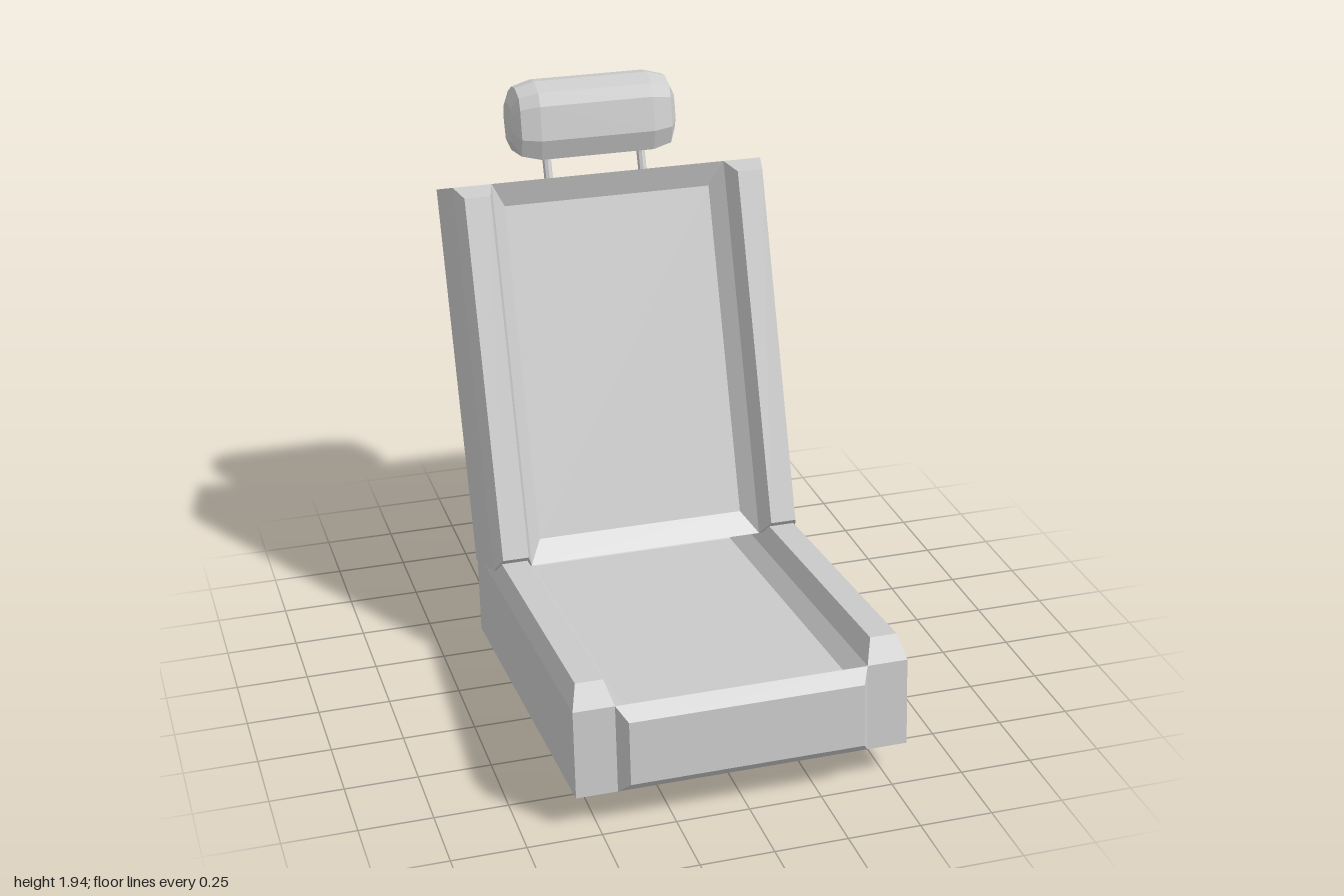
import * as THREE from 'three';

const material = new THREE.MeshStandardMaterial({ color: 0xcccccc, flatShading: true });

// Joins rings of points (counter-clockwise seen from the last ring) and caps both ends.
function loft(name, rings) {
  const pos = [];
  const tri = (...pts) => pts.forEach((p) => pos.push(...p));
  const n = rings[0].length;
  for (let r = 0; r < rings.length - 1; r++) {
    const a = rings[r], b = rings[r + 1];
    for (let i = 0; i < n; i++) {
      const j = (i + 1) % n;
      tri(a[i], a[j], b[j]);
      tri(a[i], b[j], b[i]);
    }
  }
  const first = rings[0], last = rings[rings.length - 1];
  for (let i = 1; i < n - 1; i++) {
    tri(first[0], first[i + 1], first[i]);
    tri(last[0], last[i], last[i + 1]);
  }
  const geometry = new THREE.BufferGeometry();
  geometry.setAttribute('position', new THREE.Float32BufferAttribute(pos, 3));
  geometry.computeVertexNormals();
  const mesh = new THREE.Mesh(geometry, material);
  mesh.name = name;
  return mesh;
}

// Rectangle at height y, symmetric in z
const flatRing = (x0, x1, z, y) => [[x0, y, z], [x1, y, z], [x1, y, -z], [x0, y, -z]];
// Rectangle facing forward at depth z
const frontRing = (x, y0, y1, z) => [[-x, y0, z], [x, y0, z], [x, y1, z], [-x, y1, z]];

const HALF = 0.683;   // half length of a pad
const RIM = 0.306;    // pad thickness at the rim

// Padded slab with a sunken panel and a raised bolster along each side
function createPad(name) {
  const pad = new THREE.Group();
  pad.name = name;
  pad.add(loft(name + 'Cushion', [
    flatRing(-0.57, 0.57, HALF, 0),
    flatRing(-0.57, 0.57, HALF, RIM),
    flatRing(-0.43, 0.43, HALF, RIM),
    flatRing(-0.38, 0.38, HALF - 0.083, RIM - 0.05),
  ]));
  for (const side of [-1, 1]) {
    const span = (a, b) => (side > 0 ? [a, b] : [-b, -a]);
    pad.add(loft(name + (side > 0 ? 'LeftBolster' : 'RightBolster'), [
      flatRing(...span(0.43, 0.57), HALF, RIM),
      flatRing(...span(0.455, 0.548), HALF - 0.042, 0.386),
    ]));
  }
  return pad;
}

export function createModel() {
  const model = new THREE.Group();
  model.name = 'vehicleSeat';

  // Seat with a bevelled pad across its front
  const seat = createPad('seat');
  seat.add(loft('seatFrontPad', [
    frontRing(0.43, 0, RIM, HALF),
    frontRing(0.4, 0.045, 0.266, HALF + 0.053),
  ]));
  seat.rotation.x = -0.088;
  seat.position.set(-0.003, 0.065, 0.27);
  model.add(seat);

  // Backrest, the same pad stood up and reclined
  const backrest = createPad('backrest');
  backrest.rotation.x = THREE.MathUtils.degToRad(70.1);
  backrest.position.set(-0.003, 0.912, -0.687);
  model.add(backrest);

  // Headrest: a many-sided side profile [z, y] drawn in towards each end
  const profile = [
    [-0.738, 1.76], [-0.757, 1.685], [-0.94, 1.655], [-1.0, 1.815],
    [-0.978, 1.9], [-0.91, 1.94], [-0.855, 1.948], [-0.785, 1.925], [-0.765, 1.88],
  ].reverse();
  const centre = [-0.865, 1.8];
  const stations = [[-0.306, 0.5], [-0.28, 0.87], [-0.21, 1], [0.21, 1], [0.28, 0.87], [0.306, 0.5]];
  const headrest = loft('headrest', stations.map(([x, s]) => profile.map(([z, y]) => [
    x, centre[1] + (y - centre[1]) * s, centre[0] + (z - centre[0]) * s,
  ]).reverse()));
  headrest.position.x = -0.008;
  model.add(headrest);

  // Headrest posts
  for (const side of [-1, 1]) {
    const post = new THREE.Mesh(new THREE.CylinderGeometry(0.016, 0.016, 0.2, 8), material);
    post.name = side > 0 ? 'leftHeadrestPost' : 'rightHeadrestPost';
    post.position.set(side * 0.177 - 0.007, 1.64, -0.812);
    post.rotation.x = THREE.MathUtils.degToRad(-19.9);
    model.add(post);
  }
  return model;
}
